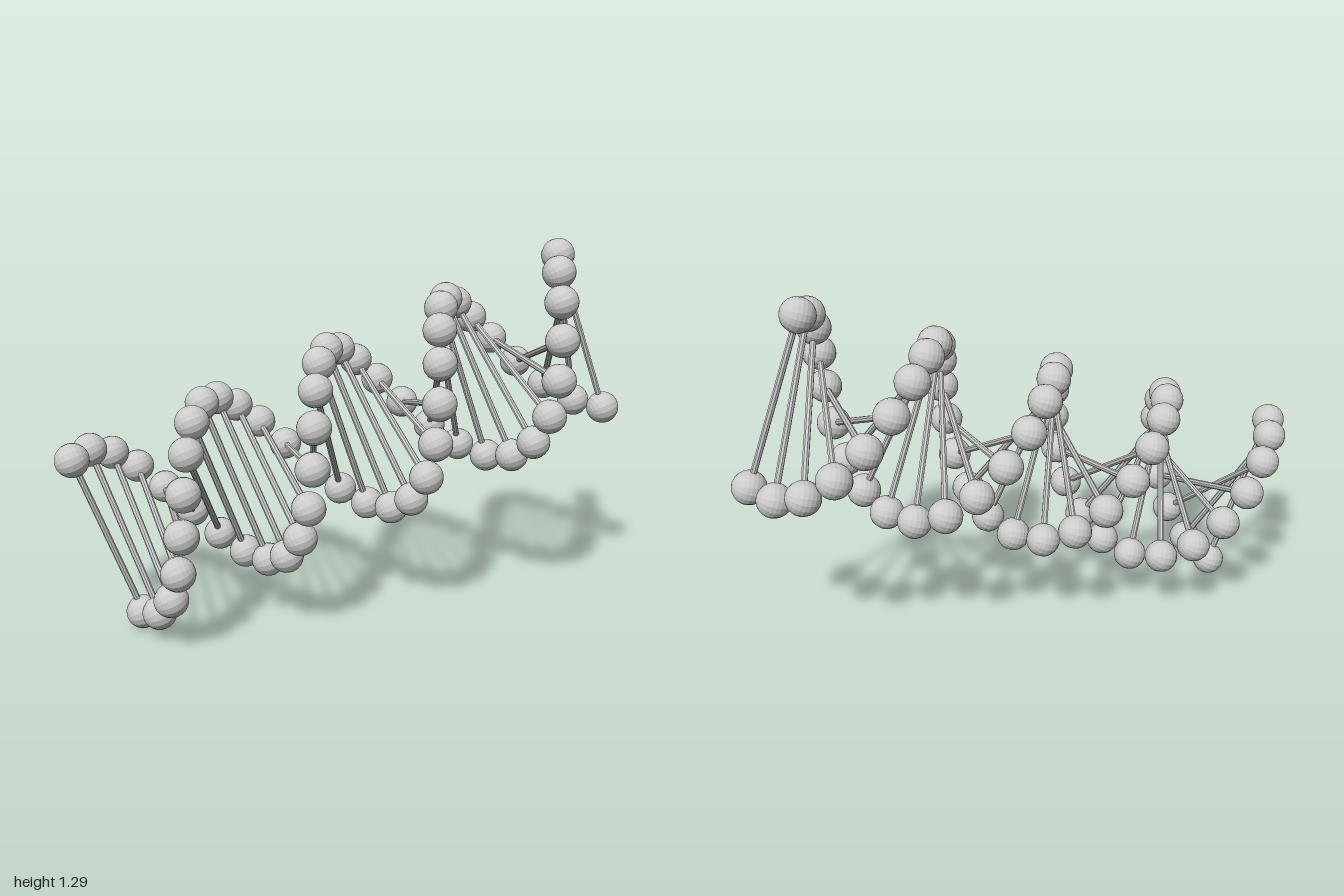
import * as THREE from 'three';

const RUNGS = 32;
const TURNS = 2;
const HALF_LENGTH = 0.895;
const RADIUS = 0.298;

export function createModel() {
  const model = new THREE.Group();
  const material = new THREE.MeshStandardMaterial({ color: 0xcccccc, flatShading: true });
  const beadGeometry = new THREE.SphereGeometry(0.0575, 16, 12);
  // rung bar laid along x, spanning the helix diameter
  const barGeometry = new THREE.CylinderGeometry(0.011, 0.011, RADIUS * 2, 8).rotateZ(Math.PI / 2);

  const helix = new THREE.Group();
  helix.name = 'doubleHelix';

  const add = (name, geometry, parent, x) => {
    const mesh = new THREE.Mesh(geometry, material);
    mesh.name = name;
    mesh.position.x = x;
    parent.add(mesh);
  };

  // each rung is a bar with a bead of each strand at its ends, turned about the axis
  for (let i = 0; i < RUNGS; i++) {
    const t = i / (RUNGS - 1);
    const rung = new THREE.Group();
    rung.name = `rung${i + 1}`;
    rung.position.y = (2 * t - 1) * HALF_LENGTH;
    rung.rotation.y = -t * TURNS * Math.PI * 2;
    add('rungBar', barGeometry, rung, 0);
    add('firstStrandBead', beadGeometry, rung, -RADIUS);
    add('secondStrandBead', beadGeometry, rung, RADIUS);
    helix.add(rung);
  }

  // lean the axis to rise 20 degrees towards +x
  helix.rotation.z = THREE.MathUtils.degToRad(-70);
  helix.position.y = 0.644;
  model.add(helix);
  return model;
}
